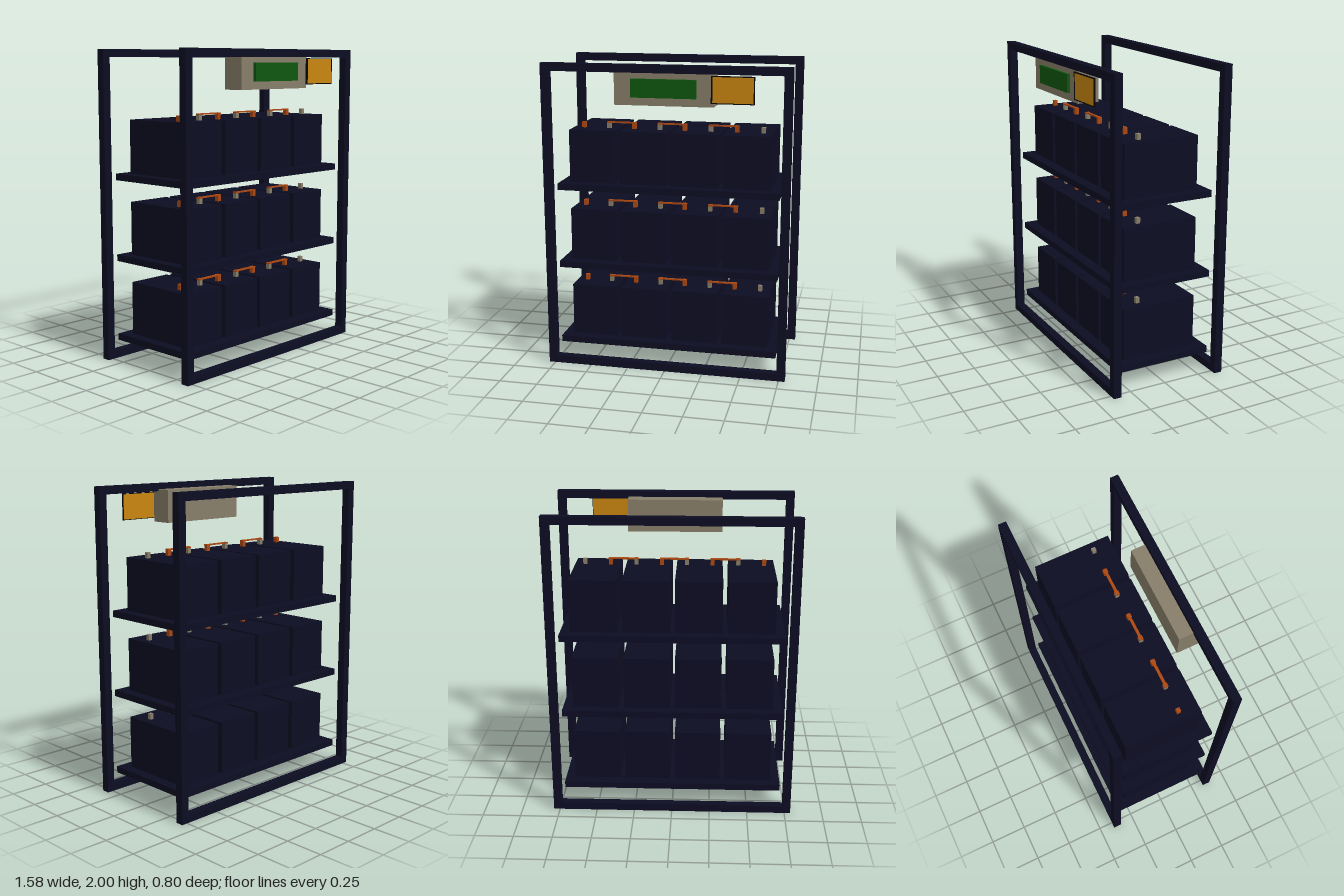
import * as THREE from 'three';

const mat = (name, color) => {
  const m = new THREE.MeshStandardMaterial({ color });
  m.name = name;
  return m;
};

export function createModel() {
  const navy = mat('dark navy', 0x0d0d23);
  const grey = mat('warm grey', 0x877e69);
  const green = mat('screen green', 0x0f570f);
  const amber = mat('amber', 0xc88510);
  const copper = mat('copper', 0xac4812);
  const black = mat('black', 0x050508);

  const model = new THREE.Group();
  model.name = 'batteryRack';

  // box given by its low and high limits on each axis
  const box = (parent, name, material, [x0, x1], [y0, y1], [z0, z1]) => {
    const mesh = new THREE.Mesh(new THREE.BoxGeometry(x1 - x0, y1 - y0, z1 - z0), material);
    mesh.position.set((x0 + x1) / 2, (y0 + y1) / 2, (z0 + z1) / 2);
    mesh.name = name;
    parent.add(mesh);
  };

  // front and back rectangular frames
  for (const [name, z] of [['frontFrame', [0.333, 0.386]], ['backFrame', [-0.402, -0.349]]]) {
    const frame = new THREE.Group();
    frame.name = name;
    box(frame, 'bottomRail', navy, [-0.737, 0.737], [0, 0.05], z);
    box(frame, 'topRail', navy, [-0.737, 0.737], [1.95, 2], z);
    box(frame, 'rightPost', navy, [-0.79, -0.737], [0, 2], z);
    box(frame, 'leftPost', navy, [0.737, 0.79], [0, 2], z);
    model.add(frame);
  }

  // three shelves, each with four linked batteries
  const centres = [-0.505, -0.167, 0.167, 0.505];
  const half = 0.013, offset = 0.085, zt = 0.12;
  for (const y of [0.127, 0.651, 1.175]) {
    const tier = new THREE.Group();
    tier.name = 'batteryTier';
    box(tier, 'shelf', navy, [-0.72, 0.72], [y, y + 0.042], [-0.33, 0.32]);
    const top = y + 0.385, post = top + 0.037;
    centres.forEach((x, i) => {
      box(tier, 'battery', navy, [x - 0.151, x + 0.151], [y + 0.042, top], [-0.26, 0.249]);
      for (const [name, m, tx] of [['positiveTerminal', copper, x - offset], ['negativeTerminal', grey, x + offset]]) {
        box(tier, name, m, [tx - half, tx + half], [top, post], [zt - half, zt + half]);
      }
      // copper link to the next battery, with a square pad at each end
      if (i < 3) {
        const a = x + offset, b = centres[i + 1] - offset;
        box(tier, 'linkBar', copper, [a + half, b - half], [post - 0.003, post + 0.006], [zt - 0.009, zt + 0.009]);
        for (const p of [a, b]) {
          box(tier, 'linkPad', copper, [p - half - 0.001, p + half + 0.001], [post - 0.003, post + 0.006], [zt - 0.014, zt + 0.014]);
        }
      }
    });
    model.add(tier);
  }

  // control box with its screen
  box(model, 'controlBox', grey, [-0.313, 0.313], [1.75, 1.963], [0.241, 0.381]);
  box(model, 'screen', green, [-0.205, 0.205], [1.8, 1.915], [0.38, 0.4]);

  // amber plate with a dark border
  const sign = new THREE.Group();
  sign.name = 'warningPlate';
  const zb = [0.388, 0.399];
  box(sign, 'plate', amber, [0.303, 0.56], [1.778, 1.939], [0.387, 0.397]);
  box(sign, 'borderRight', black, [0.297, 0.306], [1.774, 1.943], zb);
  box(sign, 'borderLeft', black, [0.557, 0.563], [1.774, 1.943], zb);
  box(sign, 'borderTop', black, [0.306, 0.557], [1.937, 1.943], zb);
  box(sign, 'borderBottom', black, [0.306, 0.557], [1.774, 1.78], zb);
  model.add(sign);

  return model;
}
